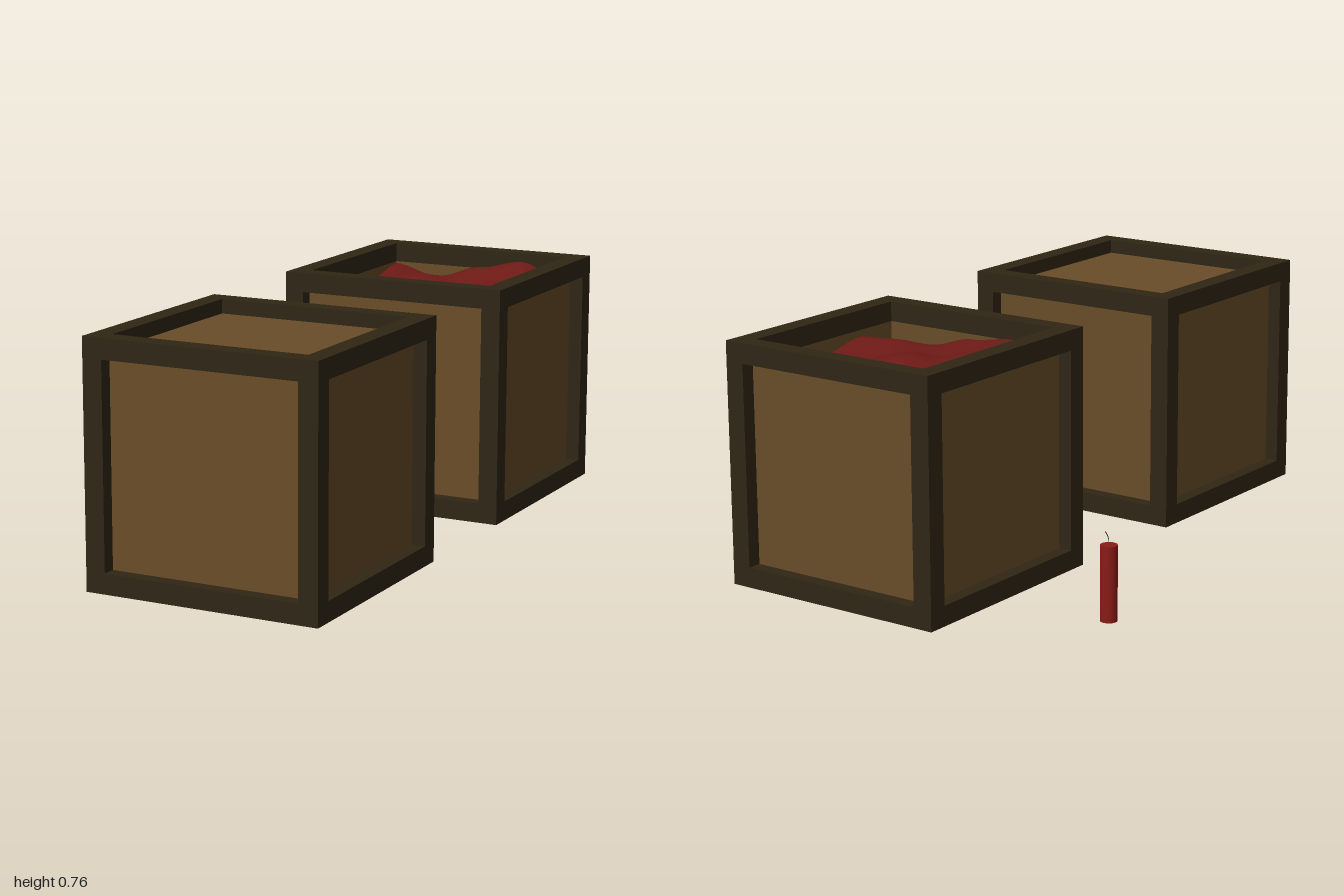
import * as THREE from 'three';

const SIZE = 0.763, BAR = 0.0635, RECESS = 0.045, PANEL = 0.0185;
const HALF = SIZE / 2, INNER = SIZE - 2 * BAR;

const mat = (color, extra = {}) => new THREE.MeshStandardMaterial({ color, ...extra });
const frameMat = mat(0x30261a);
frameMat.color.set(0x302615);
const panelMat = mat(0x694d28);
const clothMat = mat(0x6e1a16, { side: THREE.DoubleSide });
const stickMat = mat(0x8a1c16);
const fuseMat = mat(0x555555);

function box(name, material, size, pos) {
  const mesh = new THREE.Mesh(new THREE.BoxGeometry(...size), material);
  mesh.name = name;
  mesh.position.set(...pos);
  return mesh;
}

// Twelve frame bars with recessed panels, centred on the crate's middle
function createCrate(name, closed) {
  const crate = new THREE.Group();
  crate.name = name;
  const e = HALF - BAR / 2, p = HALF - RECESS - PANEL / 2;
  for (const a of [-1, 1]) {
    for (const b of [-1, 1]) {
      crate.add(box('cornerPost', frameMat, [BAR, SIZE, BAR], [a * e, 0, b * e]));
      crate.add(box('crossRail', frameMat, [INNER, BAR, BAR], [0, a * e, b * e]));
      crate.add(box('sideRail', frameMat, [BAR, BAR, INNER], [a * e, b * e, 0]));
    }
    crate.add(box('endPanel', panelMat, [INNER, INNER, PANEL], [0, 0, a * p]));
    crate.add(box('sidePanel', panelMat, [PANEL, INNER, INNER], [a * p, 0, 0]));
    if (a < 0 || closed) {
      crate.add(box(a < 0 ? 'floorPanel' : 'lidPanel', panelMat, [INNER, PANEL, INNER], [0, a * p, 0]));
    }
  }
  return crate;
}

// Depth of the rumpled cloth below the rim, rows from back to front
const DEPTHS = [
  [0.07, 0.105, 0.06, 0.03, 0.09],
  [0.095, 0.07, 0.10, 0.075, 0.11],
  [0.09, 0.10, 0.065, 0.10, 0.11],
  [0.075, 0.07, 0.10, 0.075, 0.085],
  [0.10, 0.06, 0.08, 0.12, 0.12],
];
const smooth = (t) => t * t * (3 - 2 * t);

function clothDepth(u, v) {
  const i = Math.min(3, Math.floor(u * 4)), j = Math.min(3, Math.floor(v * 4));
  const s = smooth(u * 4 - i), t = smooth(v * 4 - j);
  const row = (r) => THREE.MathUtils.lerp(DEPTHS[r][i], DEPTHS[r][i + 1], s);
  return THREE.MathUtils.lerp(row(j), row(j + 1), t);
}

function createCloth() {
  const geo = new THREE.PlaneGeometry(INNER, INNER, 32, 32).rotateX(-Math.PI / 2);
  const pos = geo.attributes.position;
  for (let k = 0; k < pos.count; k++) {
    const u = THREE.MathUtils.clamp(pos.getX(k) / INNER + 0.5, 0, 1);
    const v = THREE.MathUtils.clamp(pos.getZ(k) / INNER + 0.5, 0, 1);
    pos.setY(k, HALF - clothDepth(u, v));
  }
  geo.computeVertexNormals();
  const cloth = new THREE.Mesh(geo, clothMat);
  cloth.name = 'clothLining';
  return cloth;
}

// Upright stick with a thin bent fuse
function createStick() {
  const stick = new THREE.Group();
  stick.name = 'fusedStick';
  const body = new THREE.Mesh(new THREE.CylinderGeometry(0.026, 0.026, 0.233, 20), stickMat);
  body.name = 'stickBody';
  body.position.y = 0.1165;
  const path = new THREE.CatmullRomCurve3([
    new THREE.Vector3(0, 0.23, 0),
    new THREE.Vector3(0, 0.25, -0.002),
    new THREE.Vector3(-0.001, 0.265, -0.01),
    new THREE.Vector3(-0.002, 0.28, -0.023),
  ]);
  const fuse = new THREE.Mesh(new THREE.TubeGeometry(path, 12, 0.0013, 6), fuseMat);
  fuse.name = 'fuse';
  stick.add(body, fuse);
  return stick;
}

export function createModel() {
  const model = new THREE.Group();
  model.name = 'cratesAndStick';

  const closedCrate = createCrate('closedCrate', true);
  closedCrate.position.set(0.193, HALF, 1 - HALF);

  const openCrate = createCrate('openCrate', false);
  openCrate.position.set(0.193, HALF, HALF - 1);
  openCrate.add(createCloth());

  const stick = createStick();
  stick.position.set(-0.549, 0, -0.62);

  model.add(closedCrate, openCrate, stick);
  return model;
}
